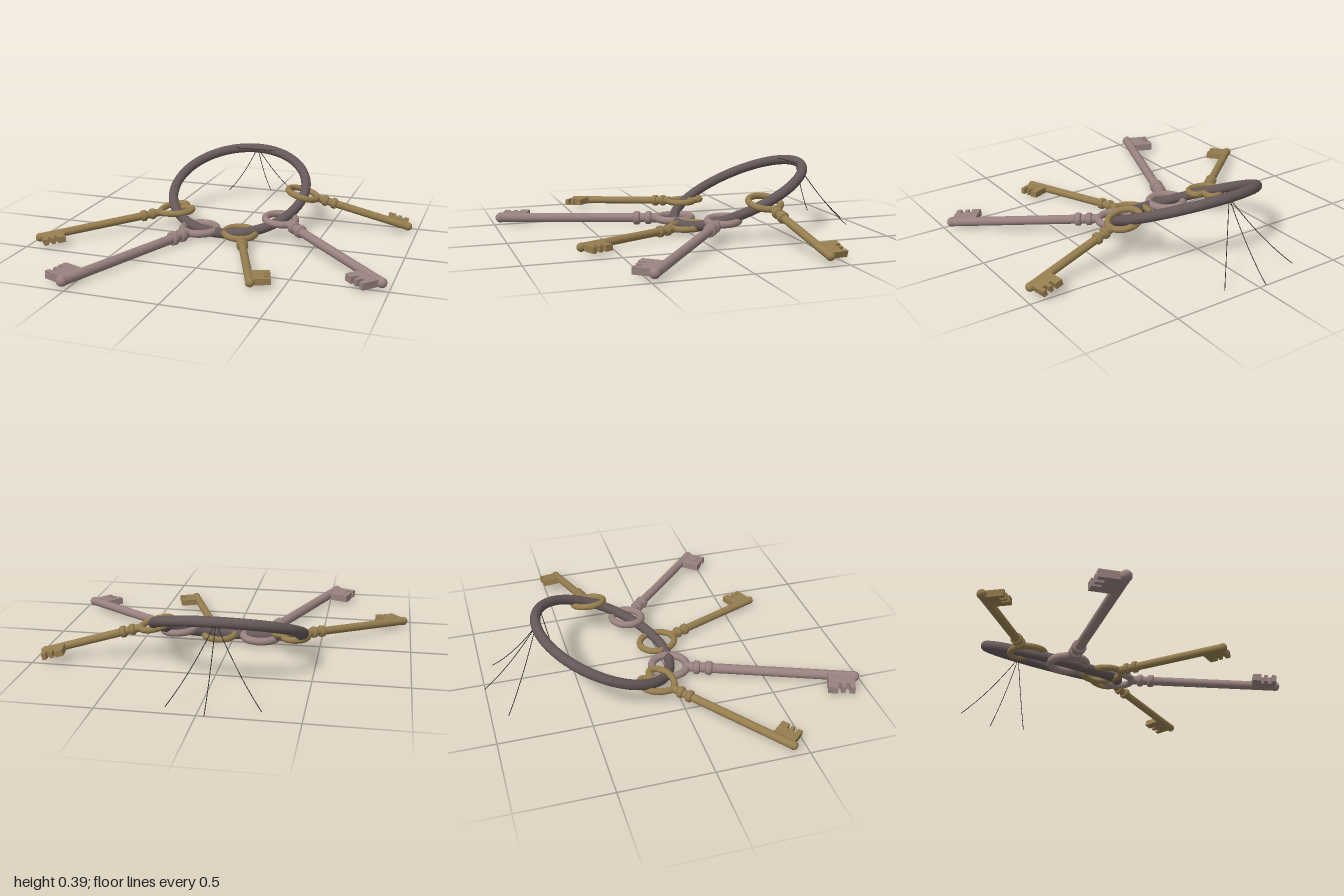
import * as THREE from 'three';

const V = (x, y, z) => new THREE.Vector3(x, y, z);

function material(name, color) {
  const m = new THREE.MeshStandardMaterial({ color });
  m.name = name;
  return m;
}

function part(name, geometry, mat, parent) {
  const mesh = new THREE.Mesh(geometry, mat);
  mesh.name = name;
  parent.add(mesh);
  return mesh;
}

// Closed bow outlines in the key's own plane: +z runs along the shaft.
function bowPoints(kind, r) {
  if (kind === 'heart') {
    return [[0, 0.09], [0.062, 0.05], [0.092, -0.01], [0.08, -0.07], [0.042, -0.09], [0.012, -0.066],
      [0, -0.045], [-0.012, -0.066], [-0.042, -0.09], [-0.08, -0.07], [-0.092, -0.01], [-0.062, 0.05]]
      .map(([x, z]) => V(x, 0, z));
  }
  const squash = kind === 'oval' ? 0.84 : 1;
  return Array.from({ length: 16 }, (_, i) => {
    const a = (i / 16) * Math.PI * 2;
    return V(Math.sin(a) * r * squash, 0, Math.cos(a) * r);
  });
}

// Toothed bit, drawn as lateral x against length z measured back from the tip.
function bitGeometry(side, s, length) {
  const outline = [[0, -0.15], [0.118, -0.15], [0.118, -0.105], [0.078, -0.105], [0.078, -0.09],
    [0.112, -0.09], [0.112, -0.07], [0.078, -0.07], [0.078, -0.05], [0.112, -0.05], [0.112, -0.025], [0, -0.025]];
  const shape = new THREE.Shape(outline.map(([x, z]) => new THREE.Vector2(x * side * s, length + z * s)));
  const g = new THREE.ExtrudeGeometry(shape, { depth: 0.036 * s, bevelEnabled: false });
  g.rotateX(Math.PI / 2);
  g.translate(0, 0.018 * s, 0);
  return g;
}

// Turned collar with softened rims.
function collarGeometry(radius, width, z) {
  const b = width * 0.22;
  const pts = [[0.001, 0], [radius - b, 0], [radius, b], [radius, width - b], [radius - b, width], [0.001, width]];
  const g = new THREE.LatheGeometry(pts.map(([x, y]) => new THREE.Vector2(x, y)), 24);
  g.rotateX(Math.PI / 2);
  g.translate(0, 0, z);
  return g;
}

function makeKey({ name, bow, tip, kind, r, s, side, mat }) {
  const key = new THREE.Group();
  key.name = name;
  const origin = V(...bow);
  const dir = V(...tip).sub(origin);
  const length = dir.length();
  dir.normalize();
  const lateral = V(0, 1, 0).cross(dir).normalize();
  const up = dir.clone().cross(lateral);
  key.quaternion.setFromRotationMatrix(new THREE.Matrix4().makeBasis(lateral, up, dir));
  key.position.copy(origin);

  const curve = new THREE.CatmullRomCurve3(bowPoints(kind, r), true);
  part('bow', new THREE.TubeGeometry(curve, 64, 0.019 * s, 12, true), mat, key);

  // Shaft with a rounded end
  const shaftR = 0.0235 * s;
  const end = length - shaftR;
  const shaft = new THREE.CylinderGeometry(shaftR, shaftR, end - r, 20);
  shaft.rotateX(Math.PI / 2);
  shaft.translate(0, 0, (end + r) / 2);
  part('shaft', shaft, mat, key);
  part('shaftEnd', new THREE.SphereGeometry(shaftR * 1.08, 20, 12), mat, key).position.z = end;

  // Two collars below the bow
  const edge = r + 0.019 * s;
  part('upperCollar', collarGeometry(0.033 * s, 0.034 * s, edge + 0.014), mat, key);
  part('lowerCollar', collarGeometry(0.034 * s, 0.036 * s, edge + 0.07 * s), mat, key);

  part('bit', bitGeometry(side, s, length), mat, key);
  return key;
}

export function createModel() {
  const model = new THREE.Group();
  model.name = 'keyRing';
  const iron = material('darkIron', 0x665859);
  const brass = material('agedBrass', 0x957d4f);
  const copper = material('paleCopper', 0x98827f);
  const thread = material('darkThread', 0x2c2625);

  // Large ring, raised at the back
  const ring = part('ring', new THREE.TorusGeometry(0.396, 0.028, 16, 96), iron, model);
  ring.rotation.x = -Math.PI / 2 + THREE.MathUtils.degToRad(24.2);
  ring.position.set(-0.04, 0.207, -0.33);
  // The back of the ring is the high side
  ring.rotation.x = Math.PI / 2 + THREE.MathUtils.degToRad(24.2);

  const keys = [
    { name: 'heartKey', bow: [-0.362, 0.112, -0.105], tip: [-0.975, 0.043, 0.437], kind: 'heart', r: 0.09, s: 0.95, side: 1, mat: brass },
    { name: 'longKey', bow: [-0.165, 0.052, 0.01], tip: [-0.54, 0.045, 0.985], kind: 'round', r: 0.097, s: 1.15, side: -1, mat: copper },
    { name: 'ovalKey', bow: [0.075, 0.052, 0.008], tip: [0.355, 0.043, 0.697], kind: 'oval', r: 0.105, s: 0.93, side: 1, mat: brass },
    { name: 'middleKey', bow: [0.275, 0.114, -0.12], tip: [0.978, 0.043, 0.49], kind: 'round', r: 0.086, s: 1.05, side: -1, mat: copper },
    { name: 'sideKey', bow: [0.35, 0.213, -0.33], tip: [0.973, 0.045, -0.418], kind: 'round', r: 0.088, s: 0.93, side: 1, mat: brass },
  ];
  for (const k of keys) model.add(makeKey(k));

  // Loose threads hanging from the back of the ring
  const start = V(-0.04, 0.37, -0.695);
  for (const [x, z] of [[-0.3, -0.91], [-0.04, -1], [0.165, -0.93]]) {
    const stop = V(x, 0.012, z);
    const mid = start.clone().lerp(stop, 0.5);
    mid.y -= 0.05;
    const curve = new THREE.QuadraticBezierCurve3(start, mid, stop);
    part('hangingThread', new THREE.TubeGeometry(curve, 20, 0.002, 6), thread, model);
  }
  // Thread lying across the ring
  const across = new THREE.LineCurve3(V(-0.17, 0.372, -0.645), V(0.09, 0.372, -0.645));
  part('crossThread', new THREE.TubeGeometry(across, 1, 0.002, 6), thread, model);

  return model;
}
